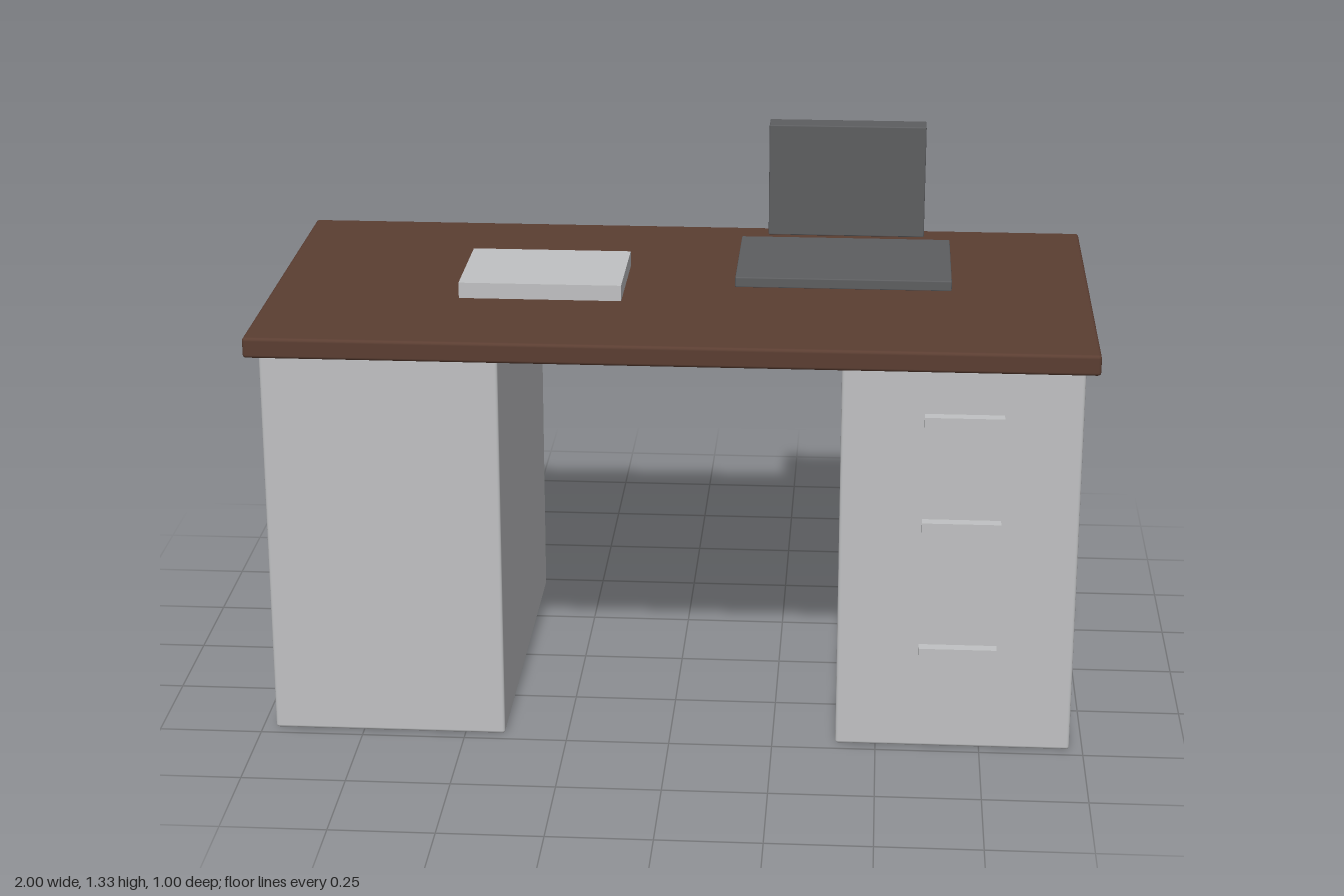
import * as THREE from 'three';
import { RoundedBoxGeometry } from 'three/addons/geometries/RoundedBoxGeometry.js';

const wood = new THREE.MeshStandardMaterial({ name: 'brown wood', color: 0x5b3e32 });
const paint = new THREE.MeshStandardMaterial({ name: 'light grey paint', color: 0xc0c1c3 });
const plastic = new THREE.MeshStandardMaterial({ name: 'dark grey plastic', color: 0x5d5e60 });

// Box spanning [min, max] on each axis, with optional softened edges
function block(name, material, [x0, x1], [y0, y1], [z0, z1], bevel = 0) {
  const size = [x1 - x0, y1 - y0, z1 - z0];
  const geometry = bevel
    ? new RoundedBoxGeometry(...size, 2, bevel)
    : new THREE.BoxGeometry(...size);
  const mesh = new THREE.Mesh(geometry, material);
  mesh.name = name;
  mesh.position.set((x0 + x1) / 2, (y0 + y1) / 2, (z0 + z1) / 2);
  return mesh;
}

export function createModel() {
  const desk = new THREE.Group();
  desk.name = 'desk';

  // Table top
  desk.add(block('tableTop', wood, [-1, 1], [0.965, 1.015], [-0.5, 0.5], 0.008));

  // Cabinets carrying the top
  desk.add(block('leftCabinet', paint, [0.403, 0.968], [0, 0.963], [-0.472, 0.472], 0.007));
  desk.add(block('rightCabinet', paint, [-0.968, -0.403], [0, 0.963], [-0.472, 0.472], 0.007));

  // Drawer handles
  for (const y of [0.257, 0.579, 0.843]) {
    desk.add(block('drawerHandle', paint, [0.598, 0.784], [y - 0.012, y + 0.012], [0.47, 0.5]));
  }

  // Paper stack
  desk.add(block('paperStack', paint, [-0.534, -0.138], [1.014, 1.054], [-0.132, 0.158]));

  // Computer: keyboard base and upright screen
  desk.add(block('computerBase', plastic, [0.132, 0.663], [1.014, 1.04], [-0.334, 0.025], 0.003));
  desk.add(block('computerScreen', plastic, [0.2, 0.597], [1.044, 1.333], [-0.4, -0.336], 0.003));

  return desk;
}
